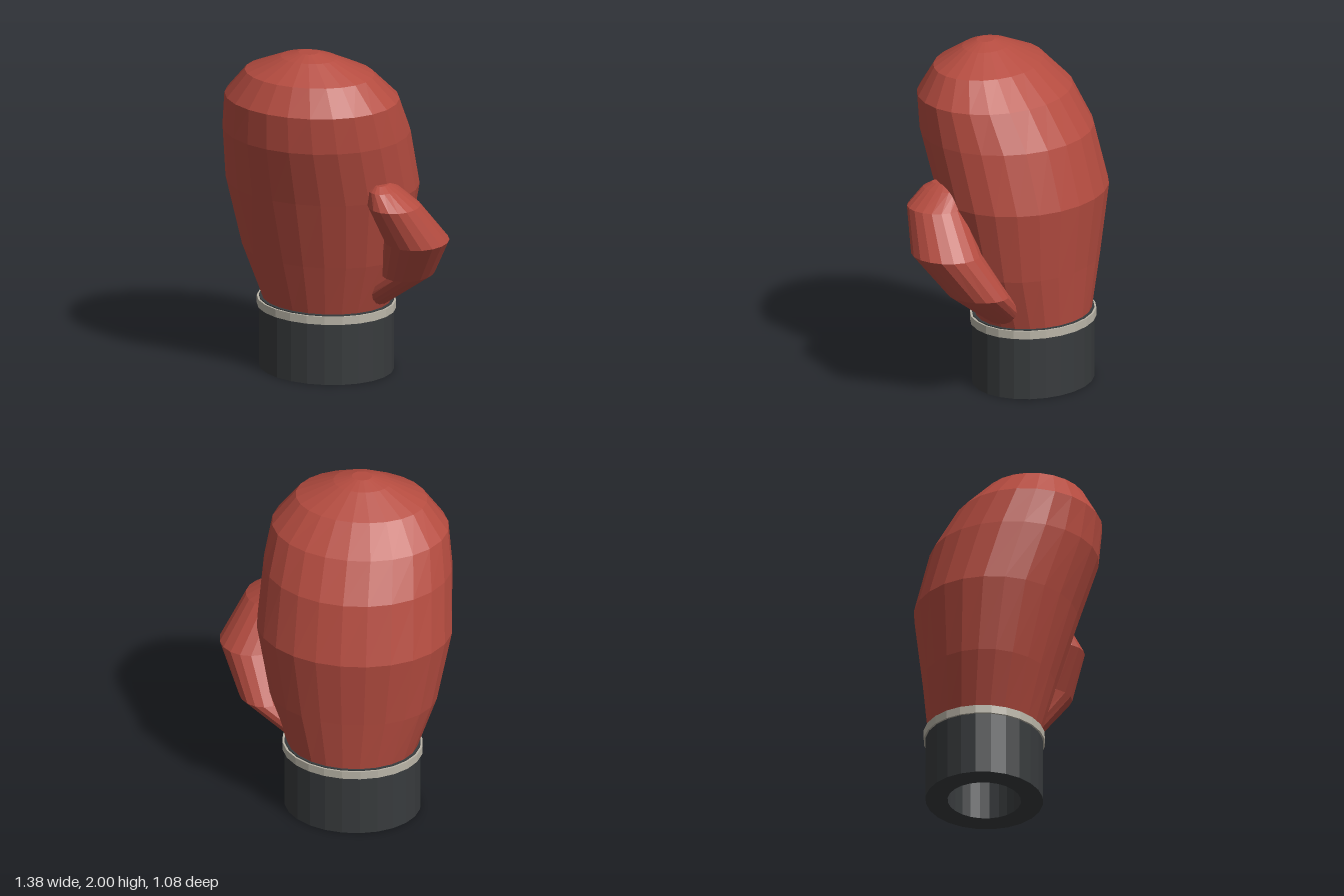
import * as THREE from 'three';

// Skin horizontal elliptical rings [y, centreX, centreZ, radiusX, radiusZ], listed upward on the outside
function loft(rings, sides, capped) {
  const pos = [], index = [];
  for (const [y, cx, cz, rx, rz] of rings) {
    for (let s = 0; s < sides; s++) {
      const a = (s / sides) * Math.PI * 2;
      pos.push(cx + rx * Math.cos(a), y, cz + rz * Math.sin(a));
    }
  }
  for (let r = 0; r < rings.length - 1; r++) {
    for (let s = 0; s < sides; s++) {
      const n = (s + 1) % sides;
      const a = r * sides + s, b = r * sides + n;
      index.push(a, a + sides, b, b, a + sides, b + sides);
    }
  }
  if (capped) {
    const last = rings.length - 1;
    for (const r of [0, last]) {
      const [y, cx, cz] = rings[r];
      const centre = pos.length / 3;
      pos.push(cx, y, cz);
      for (let s = 0; s < sides; s++) {
        const a = r * sides + s, b = r * sides + (s + 1) % sides;
        if (r === last) index.push(centre, b, a);
        else index.push(centre, a, b);
      }
    }
  }
  const geo = new THREE.BufferGeometry();
  geo.setAttribute('position', new THREE.Float32BufferAttribute(pos, 3));
  geo.setIndex(index);
  const flat = geo.toNonIndexed();
  flat.computeVertexNormals();
  return flat;
}

// Hollow elliptical sleeve around the wrist
function sleeve(y0, y1, rx, rz, innerX, innerZ) {
  const ring = (y, x, z) => [y, -0.125, -0.137, x, z];
  return loft([
    ring(y0, innerX, innerZ), ring(y0, rx, rz), ring(y1, rx, rz),
    ring(y1, innerX, innerZ), ring(y0, innerX, innerZ),
  ], 24, false);
}

export function createModel() {
  const group = new THREE.Group();
  const material = (color) => new THREE.MeshStandardMaterial({ color, flatShading: true });
  const red = material(0xb54c40), dark = material(0x383b3d), pale = material(0xbab5a8);
  const add = (name, geometry, mat) => {
    const mesh = new THREE.Mesh(geometry, mat);
    mesh.name = name;
    group.add(mesh);
  };

  // Padded hand, leaning forward towards the top
  const cx = -0.125;
  add('mitt', loft([
    [0.40, cx, -0.14, 0.37, 0.315],
    [0.42, cx, -0.14, 0.377, 0.32],
    [0.73, cx, -0.11, 0.485, 0.38],
    [1.15, cx, -0.07, 0.565, 0.47],
    [1.50, cx, 0.035, 0.545, 0.485],
    [1.72, cx, 0.115, 0.51, 0.425],
    [1.875, cx, 0.155, 0.38, 0.295],
    [1.97, cx, 0.17, 0.165, 0.13],
    [2.00, cx, 0.175, 0.058, 0.05],
  ], 24, true), red);

  // Thumb, bulging outward and reaching up and forward
  add('thumb', loft([
    [0.40, 0.075, -0.125, 0.13, 0.12],
    [0.65, 0.395, -0.065, 0.15, 0.185],
    [0.905, 0.50, 0.085, 0.185, 0.205],
    [1.145, 0.405, 0.21, 0.15, 0.165],
    [1.235, 0.34, 0.2, 0.08, 0.12],
    [1.265, 0.33, 0.2, 0.04, 0.07],
  ], 18, true), red);

  // Wrist cuff with hand opening, and the trim band at its top
  add('cuff', sleeve(0, 0.42, 0.393, 0.337, 0.245, 0.21), dark);
  add('trimBand', sleeve(0.367, 0.415, 0.405, 0.348, 0.38, 0.325), pale);

  return group;
}
